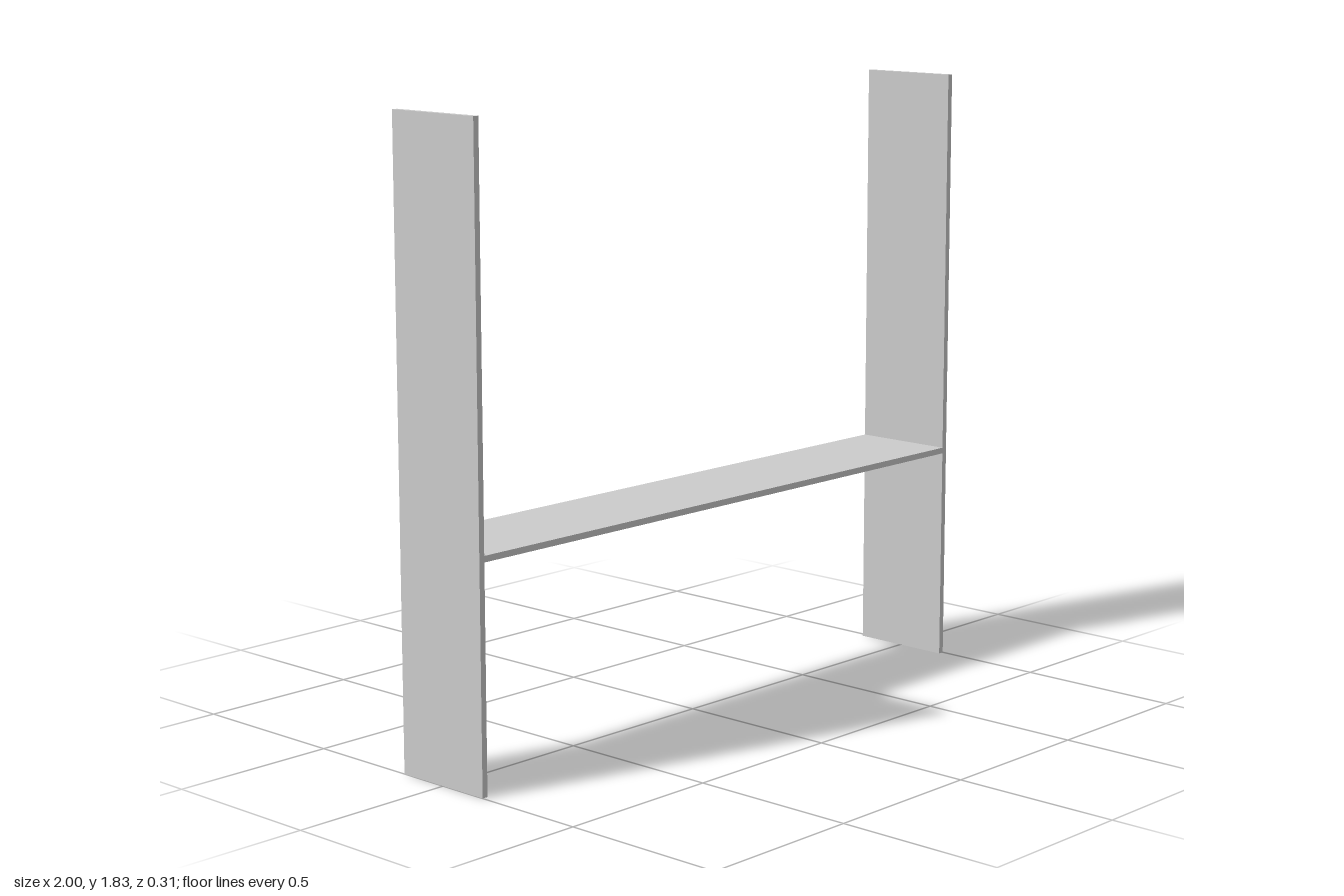
import * as THREE from 'three';

export function createModel() {
  const group = new THREE.Group();
  const material = new THREE.MeshStandardMaterial({ color: 0xcccccc, flatShading: true });
  const height = 1.83, depth = 0.314, thickness = 0.018;

  const addBoard = (name, w, h, d, x, y) => {
    const board = new THREE.Mesh(new THREE.BoxGeometry(w, h, d), material);
    board.name = name;
    board.position.set(x, y, 0);
    group.add(board);
  };

  // Upright side panels
  for (const [name, side] of [['leftPanel', 1], ['rightPanel', -1]]) {
    addBoard(name, thickness, height, depth, side * (1 - thickness / 2), height / 2);
  }

  // Shelf spanning between the panels
  addBoard('shelf', 2 - 2 * thickness, thickness, depth, 0, 0.657);

  return group;
}
